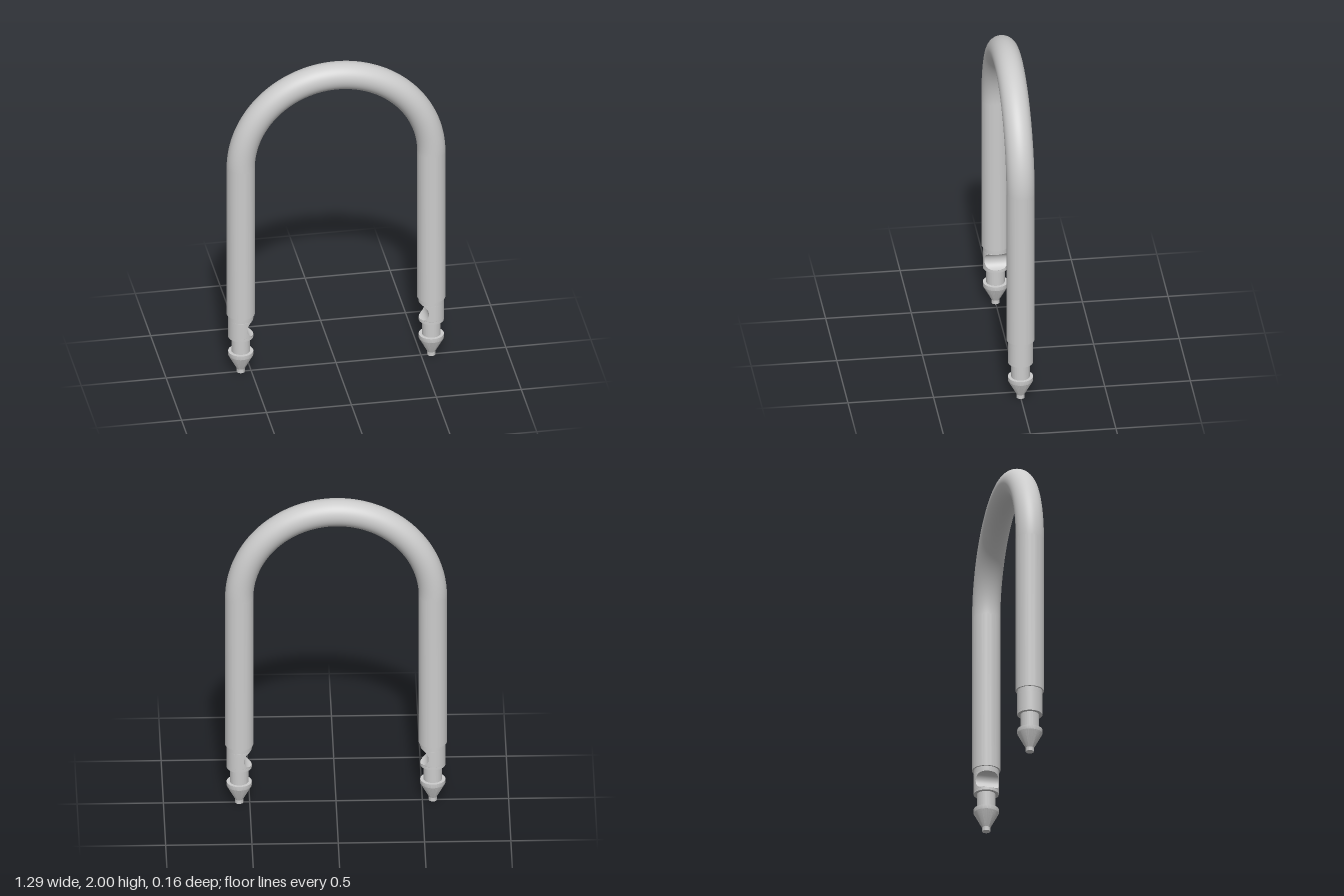
import * as THREE from 'three';
import { toCreasedNormals } from 'three/addons/utils/BufferGeometryUtils.js';

const LEG_X = 0.561, ARC_Y = 1.357;           // leg axis, start of the bend
const ROD_R = 0.082, COLLAR_R = 0.073;
const COLLAR_Y0 = 0.235, COLLAR_Y1 = 0.387;
const NOTCH = { x: 0.078, y: 0.304, r: 0.052 }; // round cut running along z

const material = new THREE.MeshStandardMaterial({ color: 0xcccccc });

function addMesh(parent, name, geometry) {
  const mesh = new THREE.Mesh(geometry, material);
  mesh.name = name;
  parent.add(mesh);
  return mesh;
}

function lathe(profile) {
  const points = profile.map(([x, y]) => new THREE.Vector2(x, y));
  return toCreasedNormals(new THREE.LatheGeometry(points, 64), 0.5);
}

// Sheet whose points come from a rule over u (rightwards) and row (upwards)
function sheet(columns, rows, rule) {
  const geometry = new THREE.PlaneGeometry(1, 1, columns, rows);
  const pos = geometry.attributes.position;
  for (let i = 0; i < pos.count; i++) {
    const u = pos.getX(i) + 0.5;
    const row = Math.round((pos.getY(i) + 0.5) * rows);
    pos.setXYZ(i, ...rule(u, row));
  }
  geometry.computeVertexNormals();
  return geometry;
}

// Heights of the collar rings, evenly spaced around the notch's arc
const reach = Math.acos((NOTCH.x - COLLAR_R) / NOTCH.r);
const STEPS = 32;
const notchLevels = [];
for (let i = 0; i <= STEPS; i++) {
  notchLevels.push(NOTCH.y + NOTCH.r * Math.sin(reach * (2 * i / STEPS - 1)));
}
const collarLevels = [COLLAR_Y0, ...notchLevels, COLLAR_Y1];

// Where the notch cuts the collar at height y
function cutX(y) {
  const d = y - NOTCH.y;
  if (Math.abs(d) >= NOTCH.r) return COLLAR_R;
  return Math.min(COLLAR_R, NOTCH.x - Math.sqrt(NOTCH.r ** 2 - d * d));
}

// One straight leg, with its notch facing +x
function createLeg() {
  const leg = new THREE.Group();

  addMesh(leg, 'rod', lathe([
    [COLLAR_R, COLLAR_Y1], [ROD_R, COLLAR_Y1], [ROD_R, ARC_Y],
  ]));

  // Collar wall, stopping at the edges of the notch
  addMesh(leg, 'collar', sheet(64, collarLevels.length - 1, (u, row) => {
    const y = collarLevels[row];
    const start = Math.acos(cutX(y) / COLLAR_R);
    const a = start + u * (2 * Math.PI - 2 * start);
    return [COLLAR_R * Math.cos(a), y, -COLLAR_R * Math.sin(a)];
  }));

  // Hollow face of the notch
  addMesh(leg, 'notch', sheet(8, STEPS, (u, row) => {
    const y = notchLevels[row];
    const x = cutX(y);
    const half = Math.sqrt(Math.max(0, COLLAR_R ** 2 - x * x));
    return [x, y, half * (1 - 2 * u)];
  }));

  // Neck and barbed tip
  addMesh(leg, 'barbedTip', lathe([
    [0, 0], [0.024, 0], [0.024, 0.024], [COLLAR_R, 0.115], [COLLAR_R, 0.14],
    [0.054, 0.14], [0.054, COLLAR_Y0], [COLLAR_R, COLLAR_Y0],
  ]));
  return leg;
}

export function createModel() {
  const model = new THREE.Group();
  model.name = 'shackle';

  // Half-round bend joining the legs
  const bend = addMesh(model, 'bend',
    new THREE.TorusGeometry(LEG_X, ROD_R, 64, 96, Math.PI));
  bend.position.y = ARC_Y;

  // Legs, each with its notch turned inward
  for (const side of [-1, 1]) {
    const leg = createLeg();
    leg.name = side > 0 ? 'leftLeg' : 'rightLeg';
    leg.position.x = side * LEG_X;
    if (side > 0) leg.rotation.y = Math.PI;
    model.add(leg);
  }
  return model;
}
